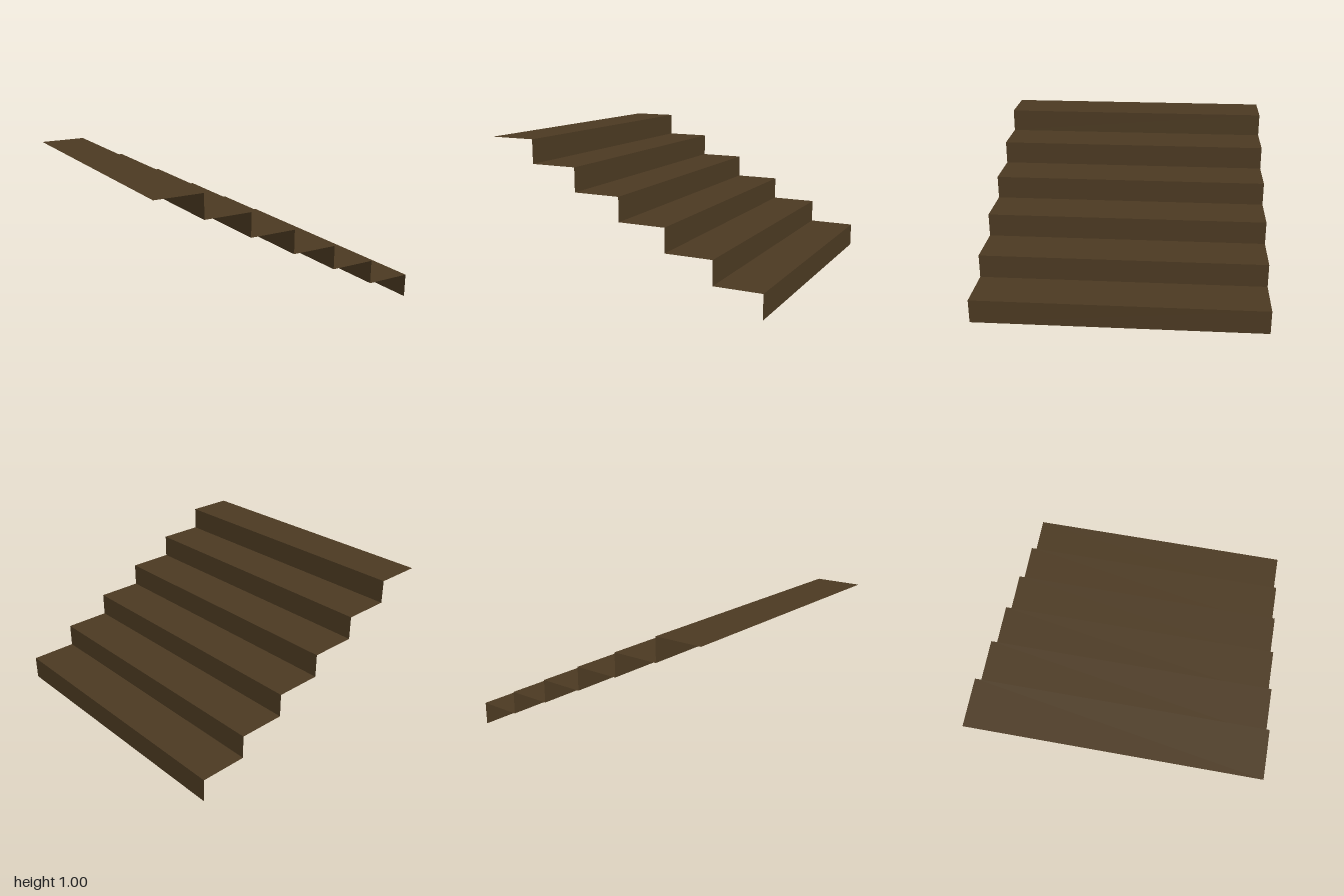
import * as THREE from 'three';

const STEPS = 6;
const WIDTH = 2;
const RUN = 2 / STEPS;
const RISE = 1 / STEPS;

export function createModel() {
  const group = new THREE.Group();
  group.name = 'staircase';

  const wood = new THREE.MeshStandardMaterial({ color: 0x4c3a22, side: THREE.DoubleSide });
  wood.name = 'dark brown wood';

  // Open sheets: treads face up, risers face +x
  const treadGeometry = new THREE.PlaneGeometry(RUN, WIDTH).rotateX(-Math.PI / 2);
  const riserGeometry = new THREE.PlaneGeometry(WIDTH, RISE).rotateY(Math.PI / 2);

  // Steps descend from -x to +x
  for (let i = 0; i < STEPS; i++) {
    const x = -1 + i * RUN;
    const y = 1 - i * RISE;

    const tread = new THREE.Mesh(treadGeometry, wood);
    tread.name = `tread${i + 1}`;
    tread.position.set(x + RUN / 2, y, 0);

    const riser = new THREE.Mesh(riserGeometry, wood);
    riser.name = `riser${i + 1}`;
    riser.position.set(x + RUN, y - RISE / 2, 0);

    group.add(tread, riser);
  }
  return group;
}
